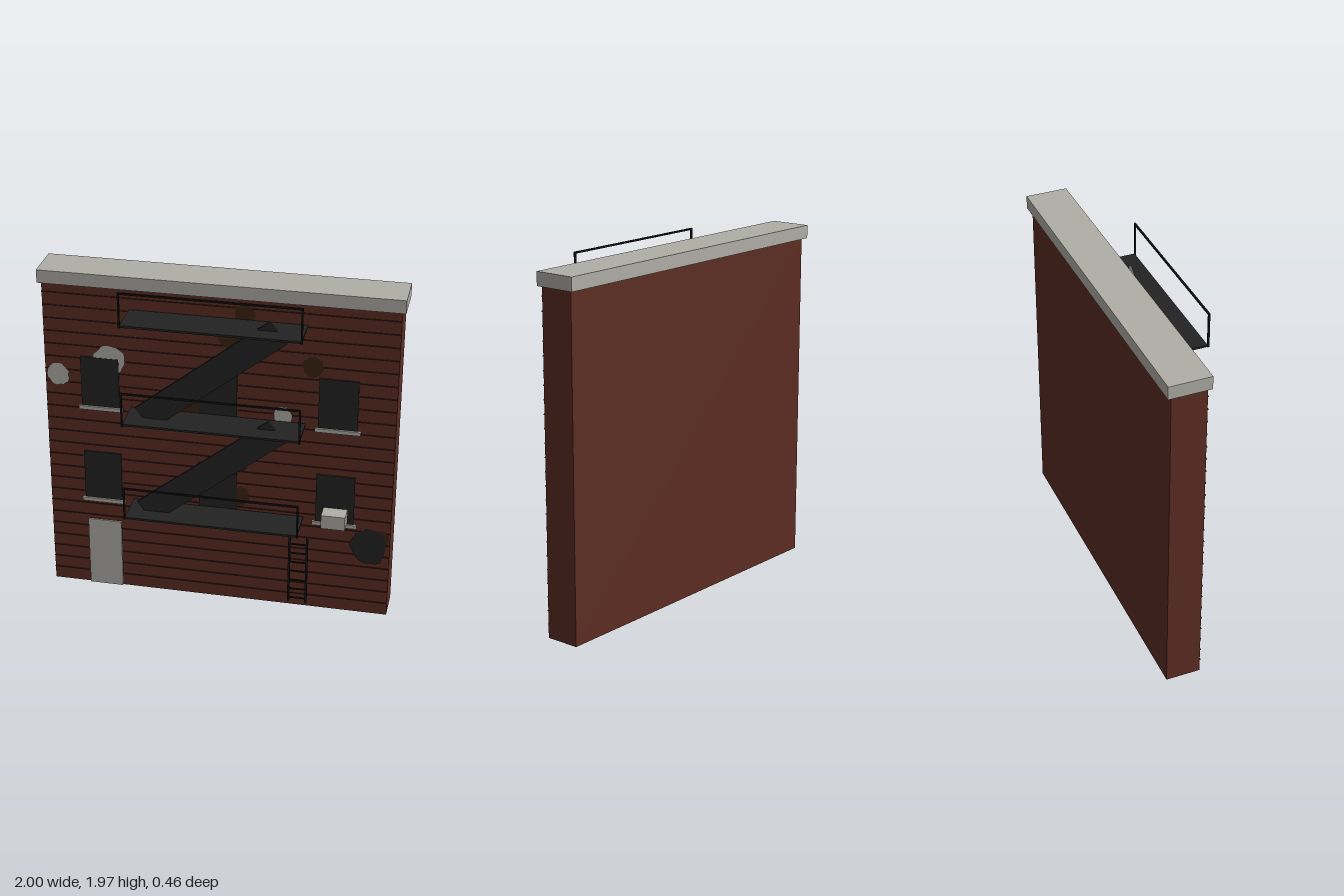
import * as THREE from 'three';

const mat = (name, color) => {
  const m = new THREE.MeshStandardMaterial({ color });
  m.name = name;
  return m;
};

export function createModel() {
  const model = new THREE.Group();
  model.name = 'brickFacade';
  const brick = mat('brick red', 0x5c2d23);
  const mortar = mat('dark mortar', 0x32170f);
  const stone = mat('pale stone', 0xafaea6);
  const iron = mat('charcoal', 0x222222);
  const rail = mat('black iron', 0x111111);
  const rust = mat('rust brown', 0x3a220d);

  // Box given by its lower and upper corners
  const box = (name, m, [x0, y0, z0], [x1, y1, z1], parent = model) => {
    const mesh = new THREE.Mesh(new THREE.BoxGeometry(x1 - x0, y1 - y0, z1 - z0), m);
    mesh.position.set((x0 + x1) / 2, (y0 + y1) / 2, (z0 + z1) / 2);
    mesh.name = name;
    parent.add(mesh);
    return mesh;
  };
  const group = (name) => {
    const g = new THREE.Group();
    g.name = name;
    model.add(g);
    return g;
  };

  // Wall, cornice and brick courses
  box('wall', brick, [-0.98, 0, -0.205], [0.98, 1.89, -0.01]);
  box('cornice', stone, [-1, 1.89, -0.23], [1, 1.965, 0.006]);
  const courses = group('mortarCourses');
  for (let i = 1; i <= 24; i++) {
    const y = i * 0.0765;
    box('mortarCourse', mortar, [-0.98, y - 0.003, -0.011], [0.98, y + 0.003, -0.005], courses);
  }

  // Windows with sills, door and air conditioner
  for (const y of [0.58, 1.17]) {
    for (const x of [-0.667, -0.003, 0.663]) {
      box('windowPane', iron, [x - 0.108, y, -0.008], [x + 0.108, y + 0.298, 0]);
      box('windowSill', stone, [x - 0.126, y - 0.026, -0.012], [x + 0.126, y - 0.004, 0.004]);
    }
  }
  box('door', stone, [-0.765, 0, -0.008], [-0.57, 0.432, 0]);
  box('airConditioner', stone, [0.6, 0.59, 0], [0.735, 0.673, 0.092]);

  // Ragged flat patches of peeled plaster, rust and soot: x, y, half width, half height
  let seed = 7;
  const rand = () => (seed = (seed * 16807) % 2147483647) / 2147483647;
  const patch = (name, m, x, y, rx, ry, z) => {
    const points = [];
    for (let i = 0; i < 22; i++) {
      const a = (i / 22) * Math.PI * 2;
      const r = 0.86 + 0.16 * rand();
      points.push(new THREE.Vector2(Math.cos(a) * rx * r, Math.sin(a) * ry * r));
    }
    const mesh = new THREE.Mesh(new THREE.ShapeGeometry(new THREE.Shape(points)), m);
    mesh.position.set(x, y, z);
    mesh.name = name;
    model.add(mesh);
  };
  [[-0.905, 1.347, 0.067, 0.072], [-0.61, 1.46, 0.098, 0.088], [0.36, 1.215, 0.055, 0.065]]
    .forEach((p) => patch('plasterPatch', stone, ...p, -0.002));
  [[0.145, 1.8, 0.06, 0.063], [0.09, 1.655, 0.09, 0.08], [0.52, 1.53, 0.06, 0.065],
    [-0.15, 1.18, 0.1, 0.09], [0.13, 0.685, 0.05, 0.065], [0.935, 0.505, 0.04, 0.055]]
    .forEach((p) => patch('rustPatch', rust, ...p, -0.0035));
  [[0.86, 0.44, 0.108, 0.122], [0.3, 1.655, 0.055, 0.06], [0.12, 0.9, 0.05, 0.055]]
    .forEach((p) => patch('sootPatch', iron, ...p, -0.0027));

  // Fire escape landings with front guard rails
  for (const y of [0.593, 1.182, 1.77]) {
    const landing = group('landing');
    box('platform', iron, [-0.49, y - 0.006, 0], [0.487, y + 0.006, 0.212], landing);
    box('topRail', rail, [-0.495, y + 0.187, 0.21], [0.493, y + 0.197, 0.22], landing);
    for (const x of [-0.49, 0.488]) {
      box('railPost', rail, [x - 0.005, y - 0.006, 0.21], [x + 0.005, y + 0.197, 0.22], landing);
    }
  }

  // Sloping stair flights
  for (const y of [0.883, 1.475]) {
    const flight = new THREE.Mesh(new THREE.BoxGeometry(0.943, 0.154, 0.018), iron);
    flight.position.set(-0.023, y, 0.107);
    flight.rotation.z = Math.atan2(0.585, 0.74);
    flight.name = 'stairFlight';
    model.add(flight);
  }

  // Drop ladder
  const ladder = group('dropLadder');
  for (const x of [0.449, 0.547]) {
    box('ladderRail', rail, [x - 0.006, 0.178, 0.219], [x + 0.006, 0.593, 0.23], ladder);
  }
  for (let i = 0; i < 7; i++) {
    const y = 0.203 + i * 0.0583;
    box('ladderRung', rail, [0.449, y - 0.004, 0.221], [0.547, y + 0.004, 0.228], ladder);
  }
  return model;
}
